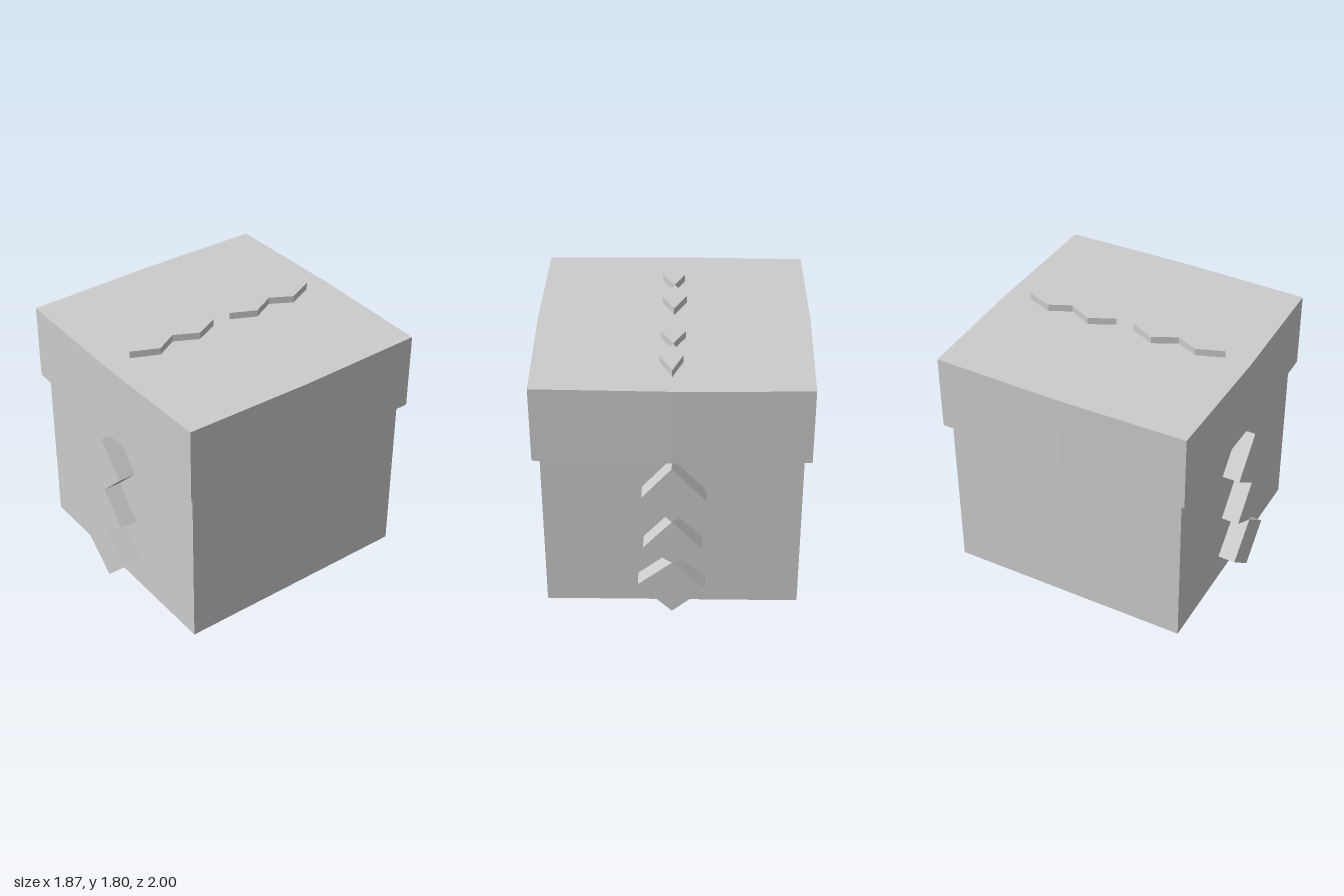
import * as THREE from 'three';

const material = new THREE.MeshStandardMaterial({ color: 0xcccccc, flatShading: true });

// Extrudes a polygon given as [x, y] points along +z.
function prism(name, points, depth) {
  const shape = new THREE.Shape(points.map(([x, y]) => new THREE.Vector2(x, y)));
  const geometry = new THREE.ExtrudeGeometry(shape, { depth, bevelEnabled: false });
  const mesh = new THREE.Mesh(geometry, material);
  mesh.name = name;
  return mesh;
}

// Irregular diamond: bottom, right corner, top, left corner.
const diamond = (bottom, top, [rx, ry], [lx, ly]) => [[0, bottom], [rx, ry], [0, top], [lx, ly]];

export function createModel() {
  const model = new THREE.Group();
  model.name = 'giftBox';

  // Box body
  const body = new THREE.Mesh(new THREE.BoxGeometry(1.74, 1.2, 1.75), material);
  body.name = 'body';
  body.position.y = 0.6;
  model.add(body);

  // Lid with slightly bowed sides
  const c = 0.918, m = 0.934;
  const lid = prism('lid', [[-c, -c], [0, -m], [c, -c], [m, 0], [c, c], [0, m], [-c, c], [-m, 0]], 0.55);
  lid.rotation.x = -Math.PI / 2;
  lid.position.y = 1.2;
  model.add(lid);

  // Column of diamonds on the front, repeated on the back
  const sideDiamonds = [
    diamond(0, 0.425, [0.233, 0.235], [-0.23, 0.2]),
    diamond(0.425, 0.77, [0.193, 0.555], [-0.207, 0.545]),
    diamond(0.77, 1.2, [0.2, 0.968], [-0.23, 0.94]),
  ];
  for (const points of sideDiamonds) {
    const front = prism('frontDiamond', points, 0.125);
    front.position.z = 0.875;
    const back = prism('backDiamond', points, 0.125);
    back.position.z = -1;
    model.add(front, back);
  }

  // Row of thin diamonds on the lid (shape y becomes -z)
  const lidDiamonds = [
    diamond(0.415, 0.755, [0.086, 0.567], [-0.07, 0.567]),
    diamond(0.07, 0.415, [0.085, 0.247], [-0.085, 0.247]),
    diamond(-0.405, -0.063, [0.085, -0.24], [-0.085, -0.24]),
    diamond(-0.75, -0.405, [0.086, -0.56], [-0.07, -0.56]),
  ];
  for (const points of lidDiamonds) {
    const mesh = prism('lidDiamond', points, 0.05);
    mesh.rotation.x = -Math.PI / 2;
    mesh.position.y = 1.75;
    model.add(mesh);
  }

  return model;
}
